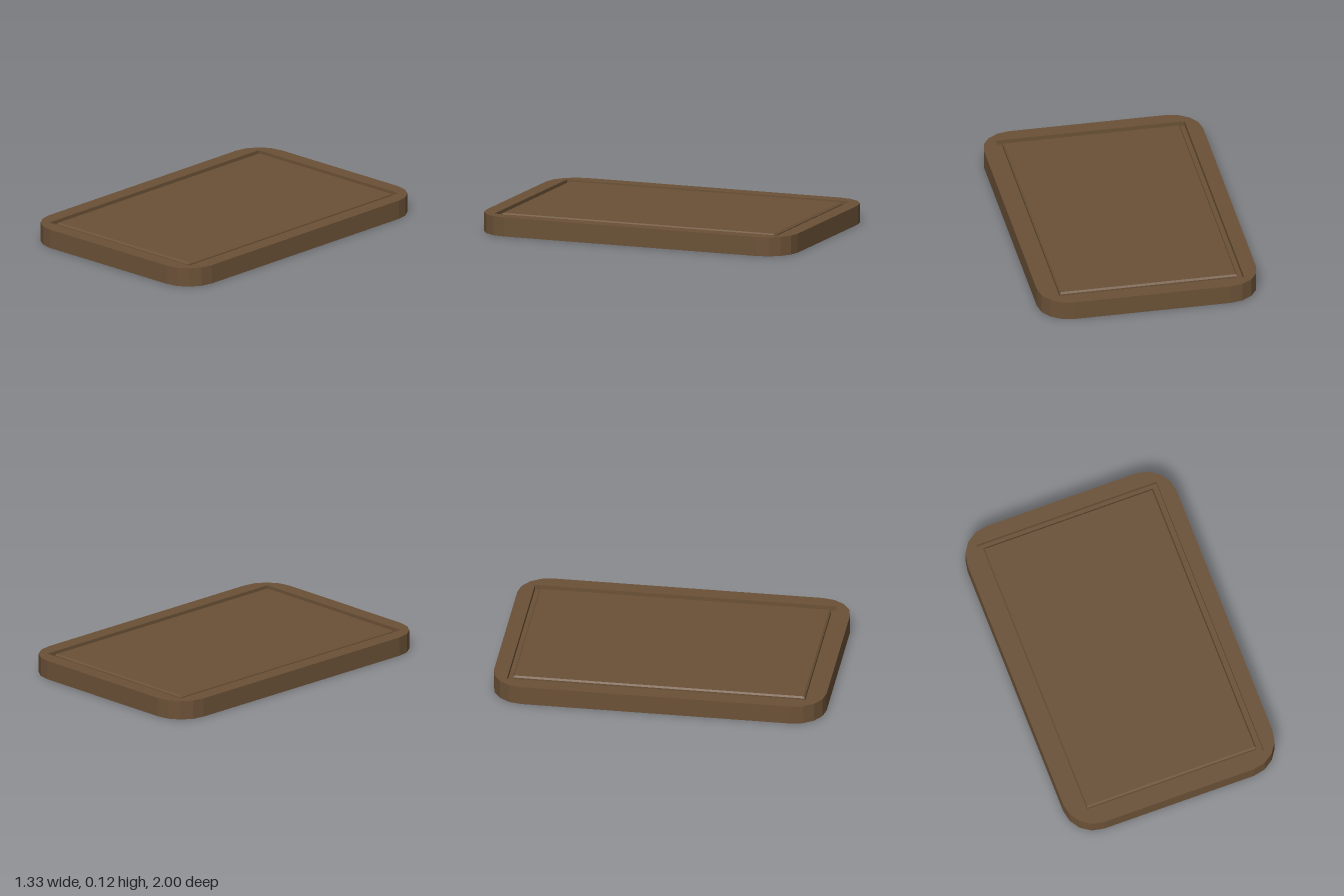
import * as THREE from 'three';

const HALF_X = 0.665, HALF_Z = 1, TOP = 0.115, FLOOR = 0.085;

// Counter-clockwise outline (seen from above) with optional faceted round corners
function outline(hx, hz, radius = 0, segments = 4) {
  const points = [];
  [[1, 1], [-1, 1], [-1, -1], [1, -1]].forEach(([sx, sz], corner) => {
    if (!radius) return points.push(new THREE.Vector2(sx * hx, sz * hz));
    for (let i = 0; i <= segments; i++) {
      const a = (corner + i / segments) * Math.PI / 2;
      points.push(new THREE.Vector2(
        sx * (hx - radius) + radius * Math.cos(a),
        sz * (hz - radius) + radius * Math.sin(a)));
    }
  });
  return points;
}

// Flat-faced bands joining successive loops of [points, height]
function loft(loops) {
  const pos = [];
  for (let k = 0; k + 1 < loops.length; k++) {
    const [a, ya] = loops[k], [b, yb] = loops[k + 1];
    for (let i = 0; i < a.length; i++) {
      const j = (i + 1) % a.length;
      const a0 = [a[i].x, ya, -a[i].y], a1 = [a[j].x, ya, -a[j].y];
      const b0 = [b[i].x, yb, -b[i].y], b1 = [b[j].x, yb, -b[j].y];
      pos.push(...a0, ...a1, ...b1, ...a0, ...b1, ...b0);
    }
  }
  const geometry = new THREE.BufferGeometry();
  geometry.setAttribute('position', new THREE.Float32BufferAttribute(pos, 3));
  geometry.computeVertexNormals();
  return geometry;
}

// Horizontal face, optionally with a hole
function plate(points, y, hole) {
  const shape = new THREE.Shape(points);
  if (hole) shape.holes.push(new THREE.Path(hole));
  return new THREE.ShapeGeometry(shape).rotateX(-Math.PI / 2).translate(0, y, 0);
}

export function createModel() {
  const wood = new THREE.MeshStandardMaterial({ color: 0x6b5137, flatShading: true });
  wood.name = 'brown wood';

  const group = new THREE.Group();
  group.name = 'cuttingBoard';
  const add = (name, geometry) => {
    const mesh = new THREE.Mesh(geometry, wood);
    mesh.name = name;
    group.add(mesh);
  };

  const edge = outline(HALF_X, HALF_Z, 0.19);
  const grooveOuter = outline(0.572, 0.908);
  const grooveInner = outline(0.538, 0.878);
  const panel = outline(0.53, 0.868);

  // Board body
  add('sideWall', loft([[edge, 0], [edge, TOP]]));
  add('underside', plate(edge, 0).rotateZ(Math.PI));
  add('rim', plate(edge, TOP, grooveOuter));

  // Juice groove and the bevelled cutting surface inside it
  add('juiceGroove', loft([
    [grooveOuter, TOP], [grooveOuter, FLOOR], [grooveInner, FLOOR],
    [grooveInner, TOP - 0.01], [panel, TOP],
  ]));
  add('cuttingSurface', plate(panel, TOP));

  return group;
}
